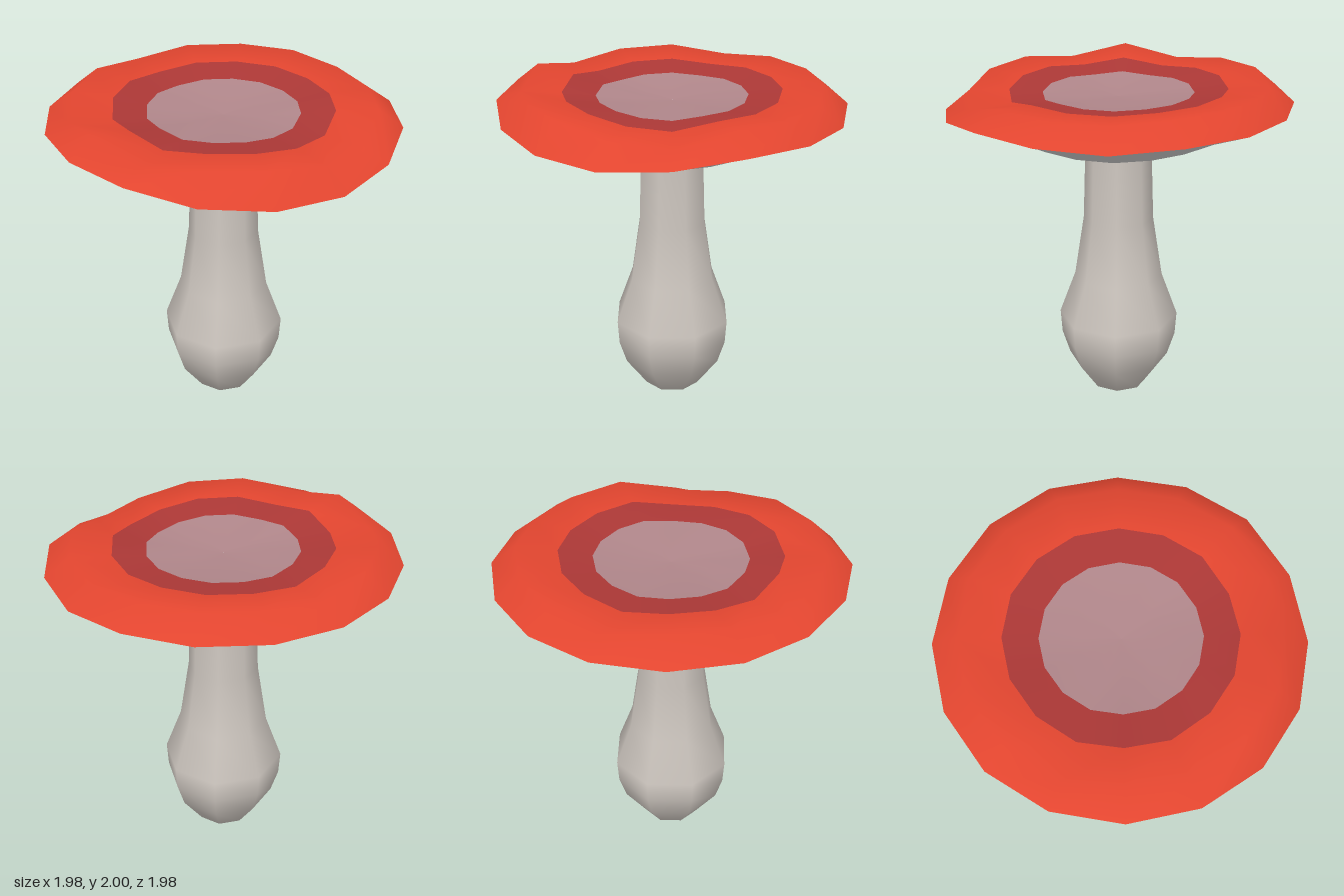
import * as THREE from 'three';

const SIDES = 16;
// Wavy heights around the cap, starting at +x and turning towards +z
const RIM = [1.79, 1.8, 1.83, 1.88, 1.89, 1.88, 1.87, 1.865, 1.86, 1.86, 1.86, 1.86, 1.84, 1.85, 1.86, 1.82];
const CREST = [1.905, 1.95, 1.965, 1.93, 2, 1.93, 1.97, 1.98, 1.94, 1.97, 1.97, 1.97, 1.95, 1.95, 1.96, 1.88];

const mix = (a, b, t) => a + (b - a) * t;
const material = (color) => new THREE.MeshStandardMaterial({ color, side: THREE.DoubleSide });

// Rings of [radius, height(i)] joined into one smooth skin
function skin(rings) {
  const pos = [], index = [];
  rings.forEach(([r, height], k) => {
    for (let i = 0; i < SIDES; i++) {
      const a = (i / SIDES) * Math.PI * 2;
      pos.push(r * Math.cos(a), height(i), r * Math.sin(a));
      if (k === 0) continue;
      const j = (i + 1) % SIDES, p = (k - 1) * SIDES, q = k * SIDES;
      index.push(p + i, q + i, p + j, p + j, q + i, q + j);
    }
  });
  const geo = new THREE.BufferGeometry();
  geo.setAttribute('position', new THREE.Float32BufferAttribute(pos, 3));
  geo.setIndex(index);
  geo.computeVertexNormals();
  return geo;
}

// One colour band of a skin, keeping the shared smooth normals
function band(geo, from, to) {
  const part = new THREE.BufferGeometry();
  part.setAttribute('position', geo.attributes.position);
  part.setAttribute('normal', geo.attributes.normal);
  const perRing = SIDES * 6;
  part.setIndex(Array.from(geo.index.array.slice(from * perRing, to * perRing)));
  return part;
}

export function createModel() {
  const model = new THREE.Group();
  model.name = 'mushroom';
  const add = (name, geo, color, parent = model) => {
    const mesh = new THREE.Mesh(geo, material(color));
    mesh.name = name;
    parent.add(mesh);
  };

  // Stem with a swollen bulb at its foot
  const profile = [[0, 0], [0.17, 0.07], [0.3, 0.25], [0.345, 0.39], [0.355, 0.53],
    [0.26, 0.79], [0.205, 1.15], [0.19, 1.62]];
  add('stem', new THREE.LatheGeometry(profile.map(([r, y]) => new THREE.Vector2(r, y)), 8), 0xccc5be);

  const cap = new THREE.Group();
  cap.name = 'cap';
  model.add(cap);

  // Upper skin: rim, raised wavy crest and a shallow hollow
  const top = skin([
    [0.99, (i) => RIM[i]],
    [0.85, (i) => CREST[i]],
    [0.62, (i) => mix(1.92, CREST[i], 0.5)],
    [0.43, (i) => mix(1.9, CREST[i], 0.2)],
    [0.2, () => 1.89],
    [0.001, () => 1.88],
  ]);
  add('capTop', band(top, 0, 2), 0xe2452f, cap);
  add('capHollow', band(top, 2, 3), 0xac3836, cap);
  add('capCentre', band(top, 3, 5), 0xb0868a, cap);

  // Underside: flat near the stem, flaring out to the rim
  add('capUnderside', skin([
    [0.001, () => 1.6],
    [0.31, () => 1.6],
    [0.53, (i) => mix(1.6, RIM[i], 0.23)],
    [0.75, (i) => mix(1.6, RIM[i], 0.64)],
    [0.99, (i) => RIM[i]],
  ]), 0xcccccc, cap);

  return model;
}
